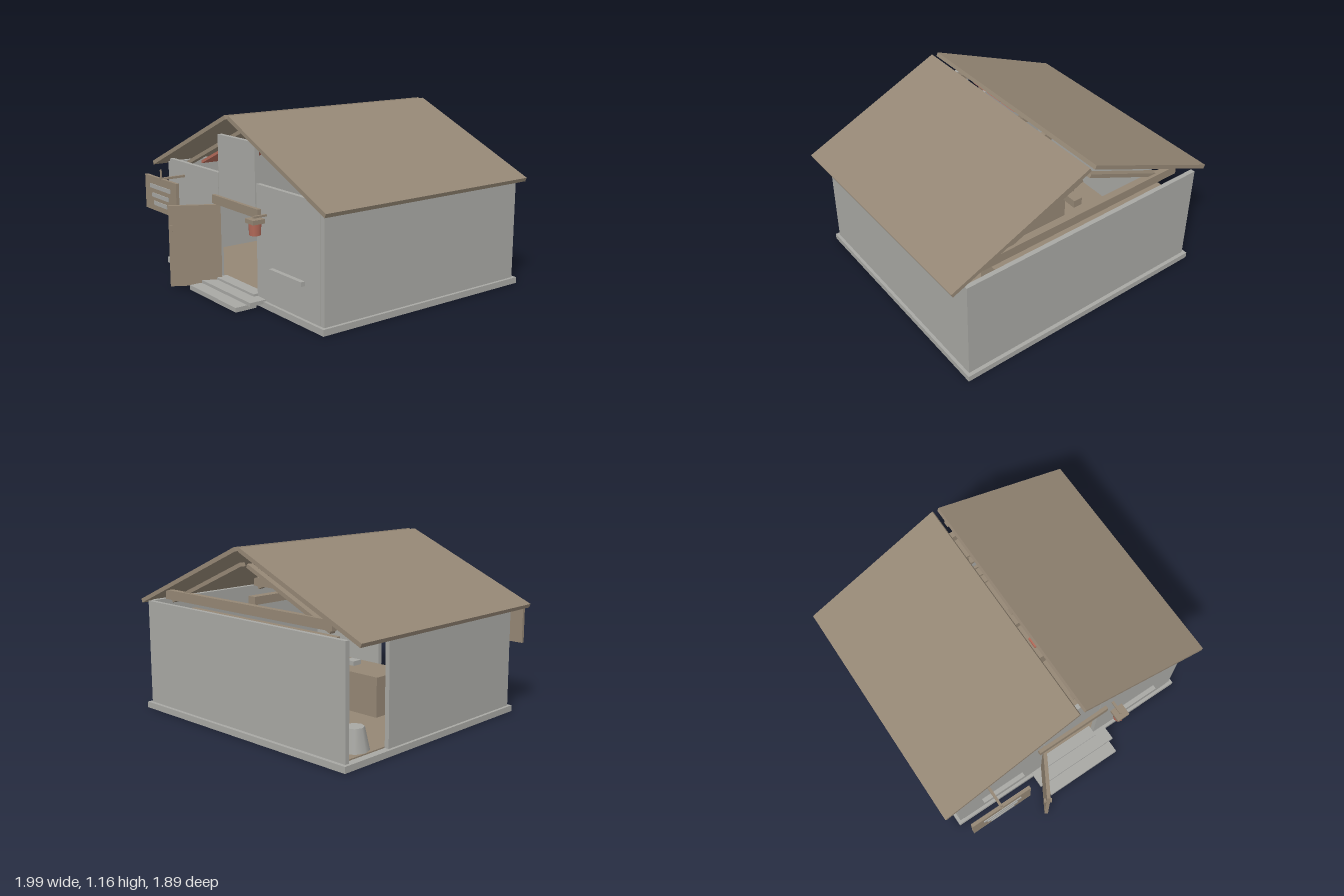
import * as THREE from 'three';

const mat = (name, color) => {
  const m = new THREE.MeshStandardMaterial({ color });
  m.name = name;
  return m;
};

export function createModel() {
  const stone = mat('grey plaster', 0xa7a7a3);
  const wood = mat('brown wood', 0x948674);
  const red = mat('faded red', 0xb36a59);
  const house = new THREE.Group();
  house.name = 'shopHouse';

  const add = (name, geo, m, parent = house) => {
    const mesh = new THREE.Mesh(geo, m);
    mesh.name = name;
    parent.add(mesh);
    return mesh;
  };
  // Box given by its lower and upper limits on each axis
  const box = (name, m, x0, x1, y0, y1, z0, z1, parent = house) => {
    const b = add(name, new THREE.BoxGeometry(x1 - x0, y1 - y0, z1 - z0), m, parent);
    b.position.set((x0 + x1) / 2, (y0 + y1) / 2, (z0 + z1) / 2);
    return b;
  };
  // Sloping slab whose top edge runs between two points, extruded along z
  const slope = (name, m, xa, ya, xb, yb, t, z0, z1) => {
    const len = Math.hypot(xb - xa, yb - ya);
    const b = add(name, new THREE.BoxGeometry(len, t, z1 - z0), m);
    b.position.set((xa + xb) / 2, (ya + yb) / 2, (z0 + z1) / 2);
    b.rotation.z = Math.atan2(yb - ya, xb - xa);
    return b;
  };

  // Base, floor and steps
  box('baseSlab', stone, -0.91, 0.92, 0, 0.04, -0.945, 0.67);
  box('floor', wood, -0.86, 0.865, 0.04, 0.048, -0.89, 0.62);
  box('threshold', stone, -0.22, 0.225, 0.04, 0.065, 0.6, 0.68);
  box('upperStep', stone, -0.3, 0.315, 0.025, 0.05, 0.65, 0.765);
  box('lowerStep', stone, -0.27, 0.285, 0, 0.03, 0.7, 0.85);

  // Walls; the right wall stops short of the back corner
  box('backWall', stone, -0.86, 0.87, 0.04, 0.73, -0.92, -0.89);
  box('leftWall', stone, 0.865, 0.9, 0.04, 0.735, -0.89, 0.62);
  box('rightWall', stone, -0.89, -0.86, 0.04, 0.735, -0.56, 0.62);
  for (const x of [-0.89, 0.87]) box('frontCornerPost', stone, x, x + 0.03, 0.04, 0.735, 0.62, 0.648);
  for (const x of [-0.89, 0.87]) box('backCornerPost', stone, x, x + 0.03, 0.04, 0.73, -0.92, -0.89);
  box('frontWallRight', stone, -0.86, -0.22, 0.04, 0.76, 0.62, 0.65);
  box('frontWallLeft', stone, 0.225, 0.865, 0.04, 0.76, 0.62, 0.65);
  box('gablePanel', stone, -0.21, 0.215, 0.56, 1.01, 0.62, 0.652);
  box('lintel', wood, -0.26, 0.275, 0.555, 0.612, 0.645, 0.675);
  for (const x of [-0.705, 0.395]) box('wallRail', stone, x, x + 0.325, 0.242, 0.27, 0.65, 0.68);

  // Roof, rafters and tie beams
  for (const s of [-1, 1]) {
    slope('roofSlab', wood, s * 0.992, 0.718, s * 0.018, 1.143, 0.027, -0.91, 0.714);
    for (const z of [-0.86, -0.12, 0.55])
      slope('rafter', wood, s * 0.72, 0.745, s * 0.03, 1.045, 0.025, z, z + 0.04);
    for (const z of [0.08, 0.24, 0.4])
      slope('redRoofBoard', red, s * 0.61, 0.76, s * 0.2, 0.94, 0.018, z, z + 0.145);
  }
  for (const z of [-0.88, -0.12]) box('tieBeam', wood, -0.75, 0.76, 0.755, 0.815, z, z + 0.04);
  box('middleBeam', wood, -0.03, 0.03, 0.8, 0.85, -0.8, -0.1);

  // Open door, hinged at the right of the doorway
  const door = new THREE.Group();
  door.name = 'door';
  door.position.set(-0.205, 0, 0.645);
  door.rotation.y = Math.atan2(-0.285, -0.165);
  door.rotation.y = Math.PI - Math.atan2(-0.285, 0.165);
  house.add(door);
  box('doorLeaf', wood, 0, 0.335, 0.015, 0.553, -0.012, 0.012, door);
  for (const s of [-1, 1]) box('doorHandle', wood, 0.31, 0.33, 0.385, 0.425, s * 0.018 - 0.008, s * 0.018 + 0.008, door);

  // Hanging sign with three pale stripes
  box('signBoard', wood, -0.88, -0.445, 0.437, 0.67, 0.813, 0.835);
  [[-0.8, -0.52, 0.59], [-0.775, -0.548, 0.53], [-0.75, -0.575, 0.476]].forEach(([a, b, y]) =>
    box('signStripe', stone, a, b, y, y + 0.028, 0.834, 0.841));
  box('signArm', wood, -0.67, -0.653, 0.66, 0.675, 0.64, 0.84);
  const rod = add('signRod', new THREE.CylinderGeometry(0.007, 0.007, 0.18, 8), wood);
  rod.position.set(-0.662, 0.64, 0.828);

  // Lantern
  box('lanternBracket', wood, 0.323, 0.34, 0.58, 0.592, 0.64, 0.745);
  box('lanternCap', wood, 0.288, 0.377, 0.55, 0.577, 0.69, 0.775);
  const lamp = add('lanternBody', new THREE.CylinderGeometry(0.04, 0.036, 0.075, 8), red);
  lamp.position.set(0.331, 0.514, 0.733);

  // Counter
  box('counterTop', wood, -0.5, 0.5, 0.27, 0.325, -0.22, 0.06);
  for (const x of [-0.46, 0.045]) box('counterPanel', wood, x, x + 0.49, 0.048, 0.27, -0.18, 0.02);
  box('counterCrate', stone, -0.05, 0.08, 0.325, 0.385, -0.12, -0.02);
  box('counterScroll', stone, -0.19, -0.11, 0.325, 0.355, -0.1, -0.03);
  box('counterBook', red, 0.18, 0.26, 0.325, 0.35, -0.1, -0.02);

  // Back shelves with boxed goods
  box('shelfBack', wood, -0.66, 0.66, 0.048, 0.68, -0.885, -0.87);
  for (let i = 0; i < 8; i++) {
    const x = -0.66 + i * 0.1857;
    box('shelfUpright', wood, x, x + 0.02, 0.048, 0.68, -0.87, -0.72);
  }
  for (const y of [0.1, 0.26, 0.42, 0.54, 0.67]) box('shelfBoard', wood, -0.66, 0.66, y, y + 0.02, -0.87, -0.72);
  for (const x of [-0.57, -0.2, 0.13, 0.5]) box('shelfGoods', stone, x, x + 0.09, 0.44, 0.51, -0.85, -0.74);

  // Sack near the open corner
  const sack = add('sack', new THREE.CylinderGeometry(0.06, 0.09, 0.14, 8), stone);
  sack.position.set(-0.77, 0.118, -0.72);

  return house;
}
